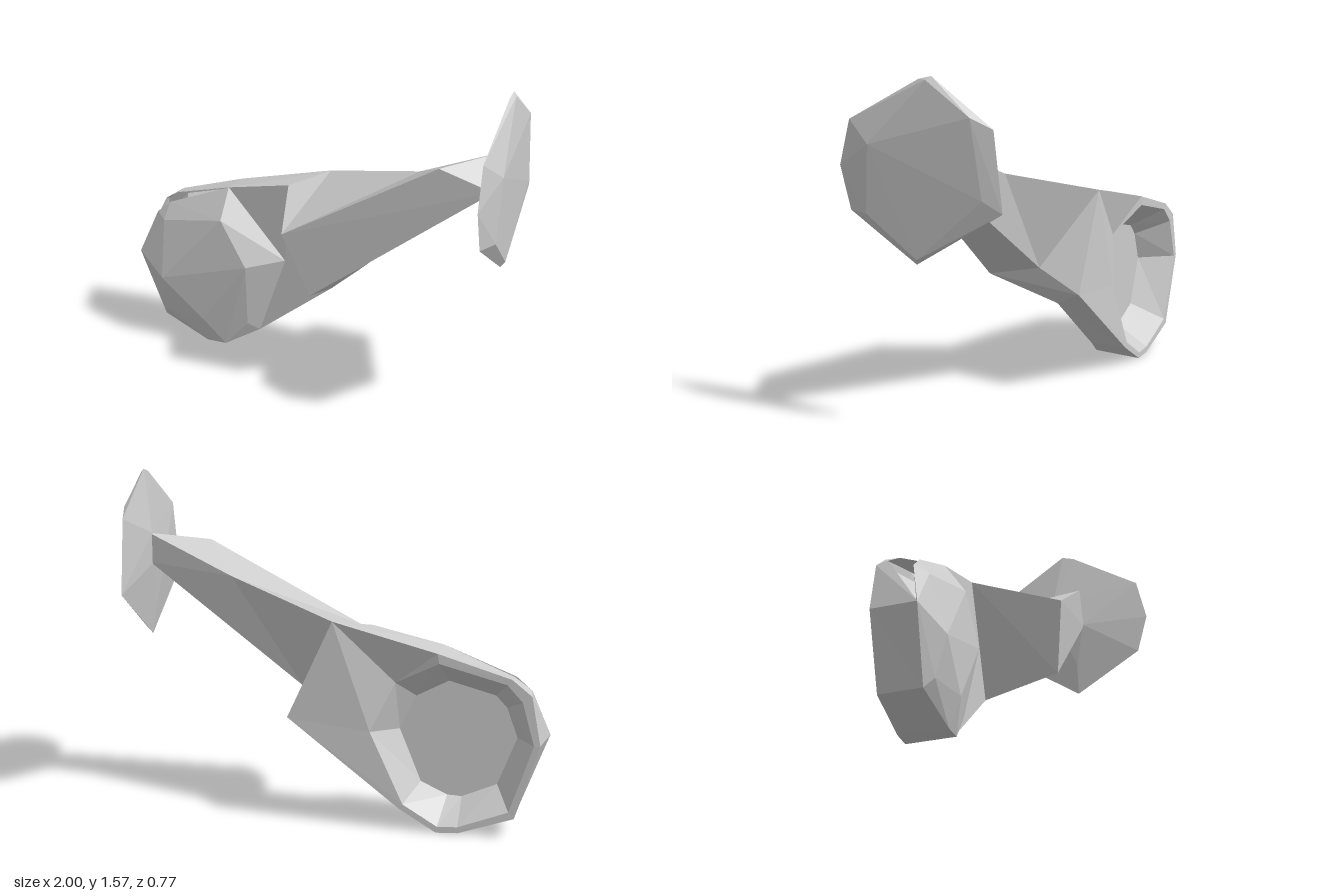
import * as THREE from 'three';
import { ConvexGeometry } from 'three/addons/geometries/ConvexGeometry.js';

const material = new THREE.MeshStandardMaterial({ color: 0xcccccc, flatShading: true, side: THREE.DoubleSide });

function addMesh(group, name, geometry) {
  geometry.computeVertexNormals();
  const mesh = new THREE.Mesh(geometry, material);
  mesh.name = name;
  group.add(mesh);
}

// Each polygon is a loop of [x, y, z] corners, split as a fan
function polygons(loops) {
  const out = [];
  for (const p of loops)
    for (let i = 1; i < p.length - 1; i++) out.push(...p[0], ...p[i], ...p[i + 1]);
  const g = new THREE.BufferGeometry();
  g.setAttribute('position', new THREE.Float32BufferAttribute(out, 3));
  return g;
}

// Quads joining two closed rings of equal length
const band = (a, b) => a.map((p, i) => {
  const j = (i + 1) % a.length;
  return [p, b[i], b[j], a[j]];
});

const hull = pts => new ConvexGeometry(pts.map(p => new THREE.Vector3(...p)));

export function createModel() {
  const group = new THREE.Group();

  // Lower plate outline, counter-clockwise from the front
  const front = [
    [-0.19, 0.9, -0.2], [-0.52, 0.83, -0.22], [-0.85, 0.72, -0.31], [-0.93, 0.67, -0.33],
    [-1, 0.43, -0.17], [-0.87, 0.1, -0.18], [-0.62, 0.01, -0.15], [-0.52, 0.01, -0.15],
    [-0.35, 0.1, -0.2], [0.04, 0.4, -0.2],
  ];
  const back = [
    [-0.04, 0.94, -0.37], [-0.52, 0.82, -0.38], [-0.85, 0.72, -0.375], [-0.94, 0.65, -0.38],
    [-0.98, 0.43, -0.385], [-0.87, 0.09, -0.38], [-0.62, 0.005, -0.38], [-0.52, 0, -0.38],
    [-0.35, 0.1, -0.38], [0.17, 0.49, -0.37],
  ];
  const hubSide = [-0.21, 0.5, -0.2];

  // Funnel recess in the back: rim and floor rings around the hub centre
  const cx = -0.59, cy = 0.4;
  const rim = back.map(([x, y, z], i) => {
    const dx = x - cx, dy = y - cy, r = Math.hypot(dx, dy);
    const s = Math.min(0.93, 0.38 / r);
    return [cx + dx * s, cy + dy * s, i === 0 ? -0.32 : z];
  });
  const floor = back.map(([x, y]) => {
    const a = Math.atan2(y - cy, x - cx);
    return [cx + 0.27 * Math.cos(a), cy + 0.27 * Math.sin(a), -0.225];
  });

  addMesh(group, 'lowerPlate', polygons([
    ...band(back, front),
    [hubSide, front[8], front[9], front[0], front[1]],
  ]));
  addMesh(group, 'backRecess', polygons([...band(rim, back), ...band(floor, rim), [...floor].reverse()]));

  // Faceted hub cap, resting on the plate and steep along its lower edge
  addMesh(group, 'hubCap', hull([
    front[1], ...front.slice(4, 9), hubSide, [-0.85, 0.7, -0.22], [-0.92, 0.64, -0.22],
    [-0.84, 0.34, -0.09], [-0.62, 0.15, -0.1], [-0.38, 0.47, -0.1],
    [-0.52, 0.69, -0.12], [-0.86, 0.62, -0.17],
    [-0.84, 0.15, -0.14], [-0.4, 0.14, -0.16],
  ]));

  // Tapering arm, stepped forward from the plate, with a bent back edge
  const stepTop = front[0], stepLow = front[9], backTop = back[0], backLow = back[9];
  const rootTop = [-0.05, 0.82, 0.19], rootLow = [0.07, 0.51, 0.14], rootBack = [0.15, 0.59, -0.16];
  const ridge = [0.67, 1.22, 0.1], bend = [0.49, 1.09, -0.16];
  const endTop = [0.91, 1.27, -0.1], endFront = [0.91, 1.13, 0.06], endBack = [0.91, 1.13, -0.09];
  addMesh(group, 'arm', polygons([
    [rootTop, rootLow, endFront, ridge],
    [ridge, endFront, endTop],
    [backTop, rootTop, bend],
    [rootTop, ridge, bend],
    [bend, ridge, endTop],
    [rootLow, rootBack, endBack, endFront],
    [rootBack, backTop, bend],
    [rootBack, bend, endBack],
    [bend, endTop, endBack],
    [endTop, endFront, endBack],
  ]));
  addMesh(group, 'armStep', polygons([
    [stepTop, stepLow, rootLow, rootTop],
    [stepTop, rootTop, backTop],
    [stepLow, backLow, rootLow],
    [rootLow, backLow, rootBack],
    [rootBack, backLow, backTop],
  ]));

  // Faceted disc at the arm end: [z, y] rim with shallow faces on both sides
  const disc = [
    [0, 1.55], [-0.06, 1.565], [-0.345, 1.365], [-0.385, 1.02],
    [0.02, 0.765], [0.34, 0.97], [0.39, 1.16], [0.34, 1.36],
  ].map(([z, y]) => [0.945, y, z]);
  addMesh(group, 'endDisc', hull([
    ...disc, [0.962, 1.55, -0.04], [0.965, 0.79, 0.01],
    [1, 1.27, 0.22], [0.985, 0.97, 0.24], [0.972, 1.41, -0.25], [0.965, 1.07, -0.3],
    [0.895, 1.27, -0.1], [0.89, 1.13, 0.06], [0.895, 1.13, -0.07], [0.92, 0.92, 0.02],
  ]));

  return group;
}
